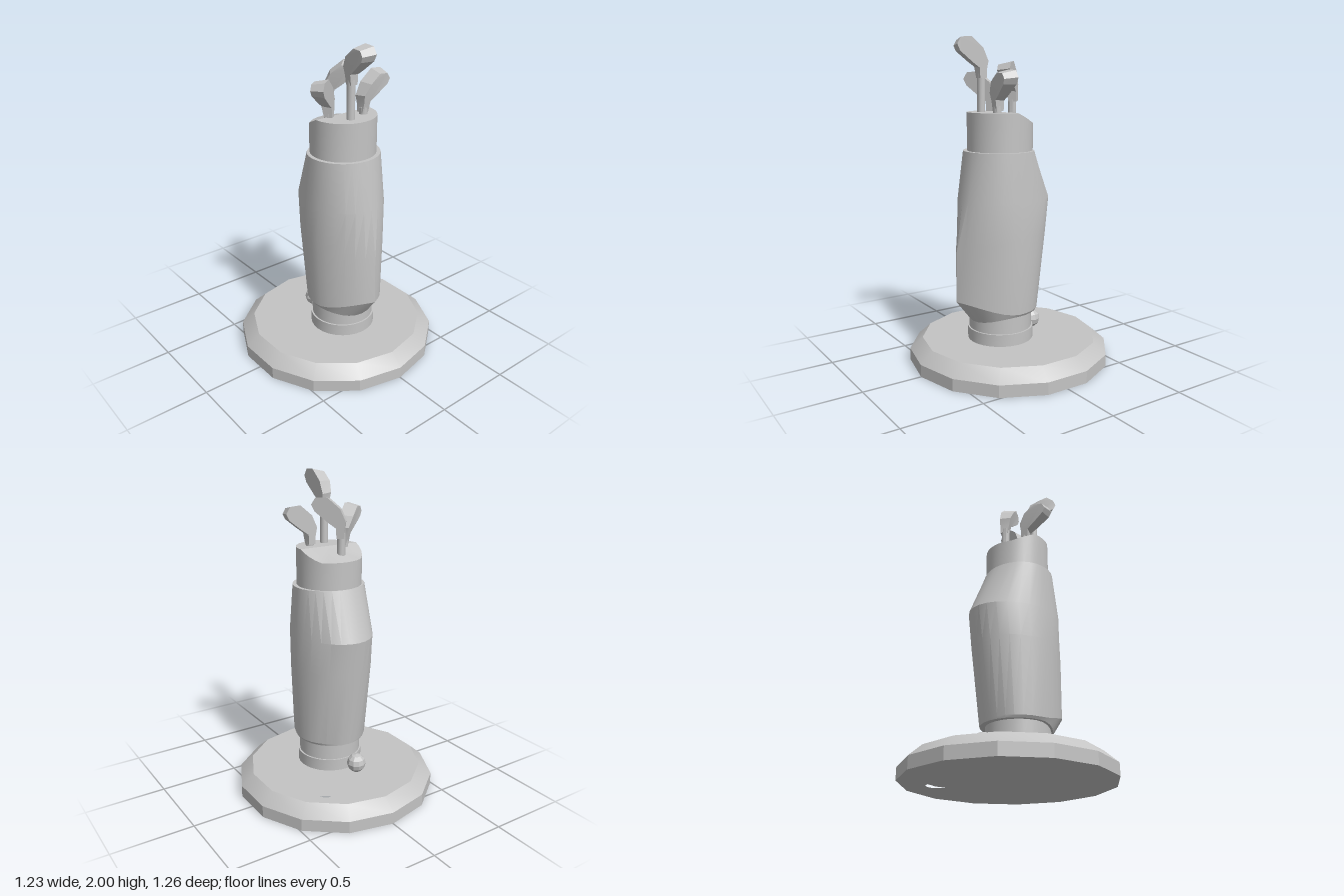
import * as THREE from 'three';
import { toCreasedNormals } from 'three/addons/utils/BufferGeometryUtils.js';

const grey = new THREE.MeshStandardMaterial({ color: 0xc4c4c4 });
grey.name = 'plain grey';
const CZ = 0.065; // the bag stands slightly forward of the base centre

function add(parent, name, geometry, x = 0, y = 0, z = 0, crease = 0.3) {
  const mesh = new THREE.Mesh(toCreasedNormals(geometry, crease), grey);
  mesh.name = name;
  mesh.position.set(x, y, z);
  parent.add(mesh);
  return mesh;
}

function moveVertices(geometry, rule) {
  const p = geometry.attributes.position;
  const v = new THREE.Vector3();
  for (let i = 0; i < p.count; i++) {
    rule(v.fromBufferAttribute(p, i));
    p.setXYZ(i, v.x, v.y, v.z);
  }
  return geometry;
}

// Fourteen-sided slab with the cup hole through it
function slab(height, topScale) {
  const rim = [];
  for (let i = 0; i < 14; i++) {
    const a = (i / 14) * Math.PI * 2;
    rim.push(new THREE.Vector2(0.63 * Math.sin(a), 0.63 * Math.cos(a)));
  }
  const shape = new THREE.Shape(rim);
  shape.holes.push(new THREE.Path().absarc(0.27, 0.308, 0.067, 0, Math.PI * 2, true));
  const g = new THREE.ExtrudeGeometry(shape, { depth: height, bevelEnabled: false, curveSegments: 16 });
  moveVertices(g, v => {
    if (v.z > height / 2 && Math.hypot(v.x, v.y) > 0.6) { v.x *= topScale; v.y *= topScale; }
  });
  return g.rotateX(-Math.PI / 2);
}

// Bag body lofted through rings with separate front and back depths
function bagBody() {
  // height, half width, front depth, back depth, front height shift, front point
  const rows = [
    [0.33, 0.215, 0.2, 0.23, -0.05, 0],
    [0.345, 0.225, 0.315, 0.232, 0.075, 0.3],
    [0.82, 0.245, 0.31, 0.297, -0.09, 0.3],
    [1.03, 0.24, 0.268, 0.325, 0, 0],
    [1.33, 0.225, 0.225, 0.2, 0, 0],
  ];
  const N = 28, pos = [], index = [];
  for (const [y, rx, front, back, shift, point] of rows) {
    for (let i = 0; i < N; i++) {
      const a = (i / N) * Math.PI * 2, s = Math.sin(a), c = Math.cos(a);
      const wedge = c * (1 - point) + (1 - Math.abs(s)) * point;
      pos.push(rx * s, y + shift * Math.max(0, c) ** 2, CZ + (c > 0 ? front * wedge : back * c));
    }
  }
  const last = (rows.length - 1) * N, bottom = rows.length * N, top = bottom + 1;
  pos.push(0, 0.33, CZ, 0, 1.33, CZ);
  for (let i = 0; i < N; i++) {
    const j = (i + 1) % N;
    for (let r = 0; r < last; r += N) {
      index.push(r + i, r + j, r + N + j, r + i, r + N + j, r + N + i);
    }
    index.push(bottom, j, i, top, last + i, last + j);
  }
  const g = new THREE.BufferGeometry();
  g.setAttribute('position', new THREE.Float32BufferAttribute(pos, 3));
  g.setIndex(index);
  return g;
}

// Club head: flat face, with a smaller back that thins towards the hosel
function clubHead() {
  const outline = [[-0.022, 0], [0.022, 0], [0.025, 0.06], [0.07, 0.09], [0.155, 0.155],
    [0.175, 0.195], [0.15, 0.235], [0.08, 0.24], [0, 0.175], [-0.035, 0.1], [-0.024, 0.05]];
  const shape = new THREE.Shape(outline.map(p => new THREE.Vector2(...p)));
  const g = new THREE.ExtrudeGeometry(shape, { depth: 1, bevelEnabled: false });
  return moveVertices(g, v => {
    if (v.z < 0.5) return;
    const k = Math.min(1, v.y / 0.17);
    v.z = 0.048 + 0.035 * k;
    v.x += (0.07 - v.x) * 0.2 * k;
    v.y += (0.15 - v.y) * 0.2 * k;
  });
}

export function createModel() {
  const model = new THREE.Group();
  model.name = 'golfBagTrophy';

  // Base
  add(model, 'baseSlab', slab(0.075, 1));
  add(model, 'baseBevel', slab(0.07, 0.55 / 0.63), 0, 0.075);

  // Foot of the bag
  add(model, 'footRing', new THREE.CylinderGeometry(0.205, 0.205, 0.08, 28), 0, 0.18, CZ);
  add(model, 'footColumn', new THREE.CylinderGeometry(0.195, 0.195, 0.2, 28), 0, 0.3, CZ);

  add(model, 'bagBody', bagBody());

  // Collar whose rim dips at the back
  const collar = new THREE.CylinderGeometry(0.2, 0.2, 0.26, 32);
  moveVertices(collar, v => {
    if (v.y > 0) v.y -= 0.065 * Math.min(1, Math.max(0, -v.z / 0.14));
  });
  add(model, 'bagCollar', collar, 0, 1.43, CZ);

  // Clubs: shaft x, shaft z, head height, turn
  const clubs = [
    [-0.035, 0.175, 1.76, -Math.PI / 2],
    [0.09, 0.14, 1.57, 0],
    [-0.106, 0.058, 1.56, Math.atan2(-0.56, -0.83)],
    [-0.02, -0.038, 1.62, Math.atan2(-0.74, 0.67)],
  ];
  for (const [x, z, y, turn] of clubs) {
    const club = new THREE.Group();
    club.name = 'club';
    club.position.set(x, y, z);
    club.rotation.y = turn;
    add(club, 'clubHead', clubHead(), 0, 0, -0.03);
    const length = y + 0.03 - 1.46;
    add(club, 'clubShaft', new THREE.CylinderGeometry(0.025, 0.025, length, 10), 0, 0.03 - length / 2, 0, 0.8);
    model.add(club);
  }

  // Ball resting behind the bag
  add(model, 'ball', new THREE.SphereGeometry(0.06, 10, 6), -0.035, 0.2, -0.195);
  return model;
}
